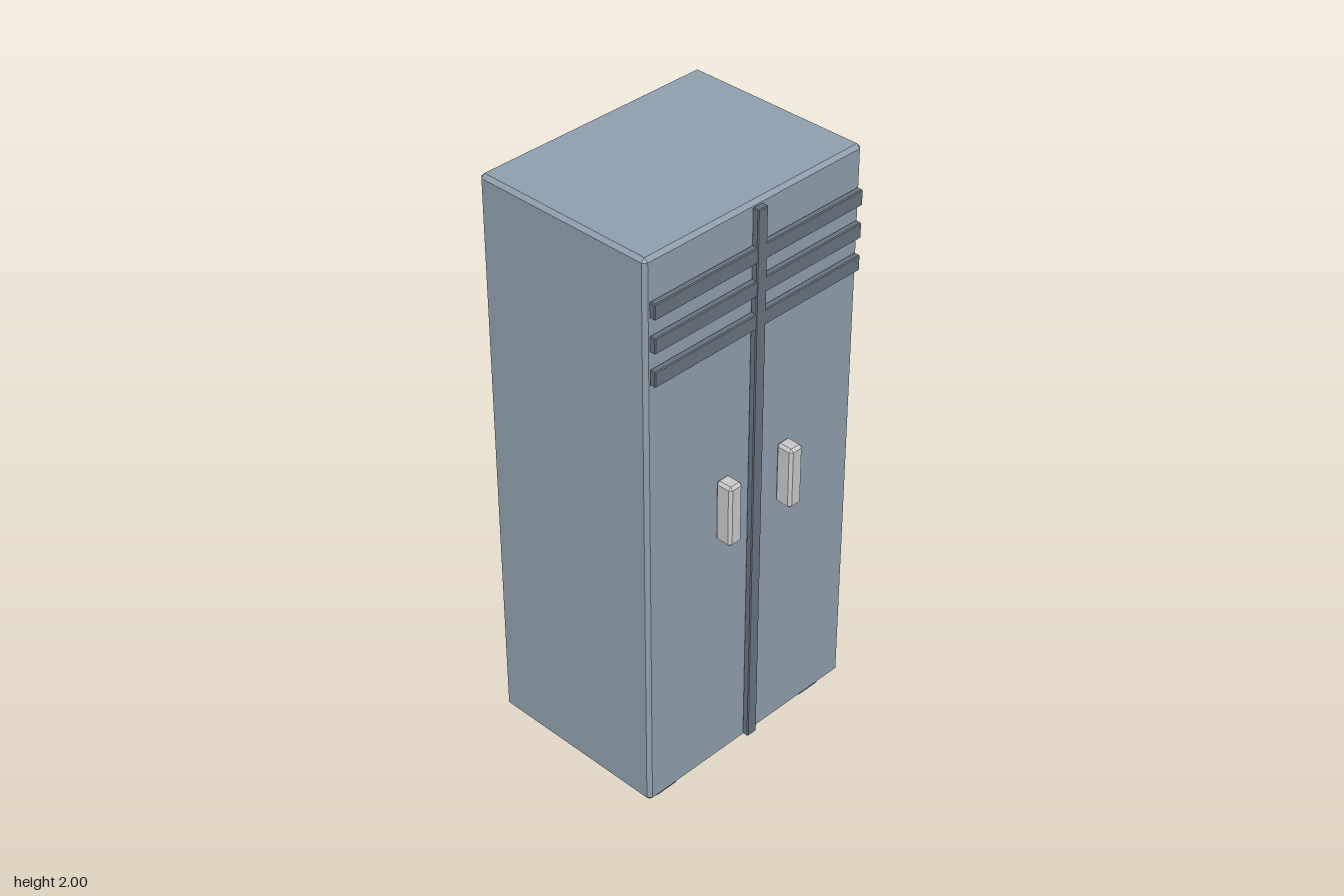
import * as THREE from 'three';
import { ConvexGeometry } from 'three/addons/geometries/ConvexGeometry.js';

const paint = (name, color) => {
  const m = new THREE.MeshStandardMaterial({ color });
  m.name = name;
  return m;
};

// Box with all edges chamfered by c, spanning the given [min, max] ranges
function chamferBox(name, material, xs, ys, zs, c) {
  const size = [xs, ys, zs].map(([a, b]) => b - a);
  const mid = [xs, ys, zs].map(([a, b]) => (a + b) / 2);
  const points = [];
  for (const sx of [-1, 1]) for (const sy of [-1, 1]) for (const sz of [-1, 1]) {
    const signs = [sx, sy, sz];
    for (let face = 0; face < 3; face++) {
      points.push(new THREE.Vector3(
        ...signs.map((s, i) => s * (size[i] / 2 - (i === face ? 0 : c)))
      ));
    }
  }
  const mesh = new THREE.Mesh(new ConvexGeometry(points), material);
  mesh.name = name;
  mesh.position.set(...mid);
  return mesh;
}

// Range mirrored to the chosen side of x = 0
const mirror = (side, a, b) => (side > 0 ? [a, b] : [-b, -a]);

export function createModel() {
  const group = new THREE.Group();
  group.name = 'cabinet';
  const bodyPaint = paint('blue grey paint', 0x8f9fac);
  const trimPaint = paint('dark grey trim', 0x68727d);
  const handlePaint = paint('light grey handle', 0xc8c8c8);

  // Cabinet body
  group.add(chamferBox('body', bodyPaint, [-0.433, 0.433], [0.045, 2], [-0.355, 0.293], 0.012));

  // Strip between the two doors
  group.add(chamferBox('doorSeam', trimPaint, [-0.02, 0.02], [0.06, 1.985], [0.293, 0.316], 0.003));

  // Vent slats across the top of the doors
  for (let i = 0; i < 3; i++) {
    const y = 1.622 + i * 0.109;
    group.add(chamferBox('ventSlat', trimPaint, [-0.418, 0.418], [y - 0.026, y + 0.026], [0.293, 0.315], 0.003));
  }

  for (const side of [-1, 1]) {
    const prefix = side > 0 ? 'left' : 'right';

    // Door handle
    group.add(chamferBox(prefix + 'Handle', handlePaint, mirror(side, 0.102, 0.155), [0.915, 1.13], [0.292, 0.354], 0.009));

    // Feet
    group.add(chamferBox(prefix + 'FrontFoot', trimPaint, mirror(side, 0.273, 0.378), [0, 0.06], [0.157, 0.263], 0.012));
    group.add(chamferBox(prefix + 'BackFoot', trimPaint, mirror(side, 0.273, 0.378), [0, 0.06], [-0.322, -0.216], 0.012));
  }
  return group;
}
